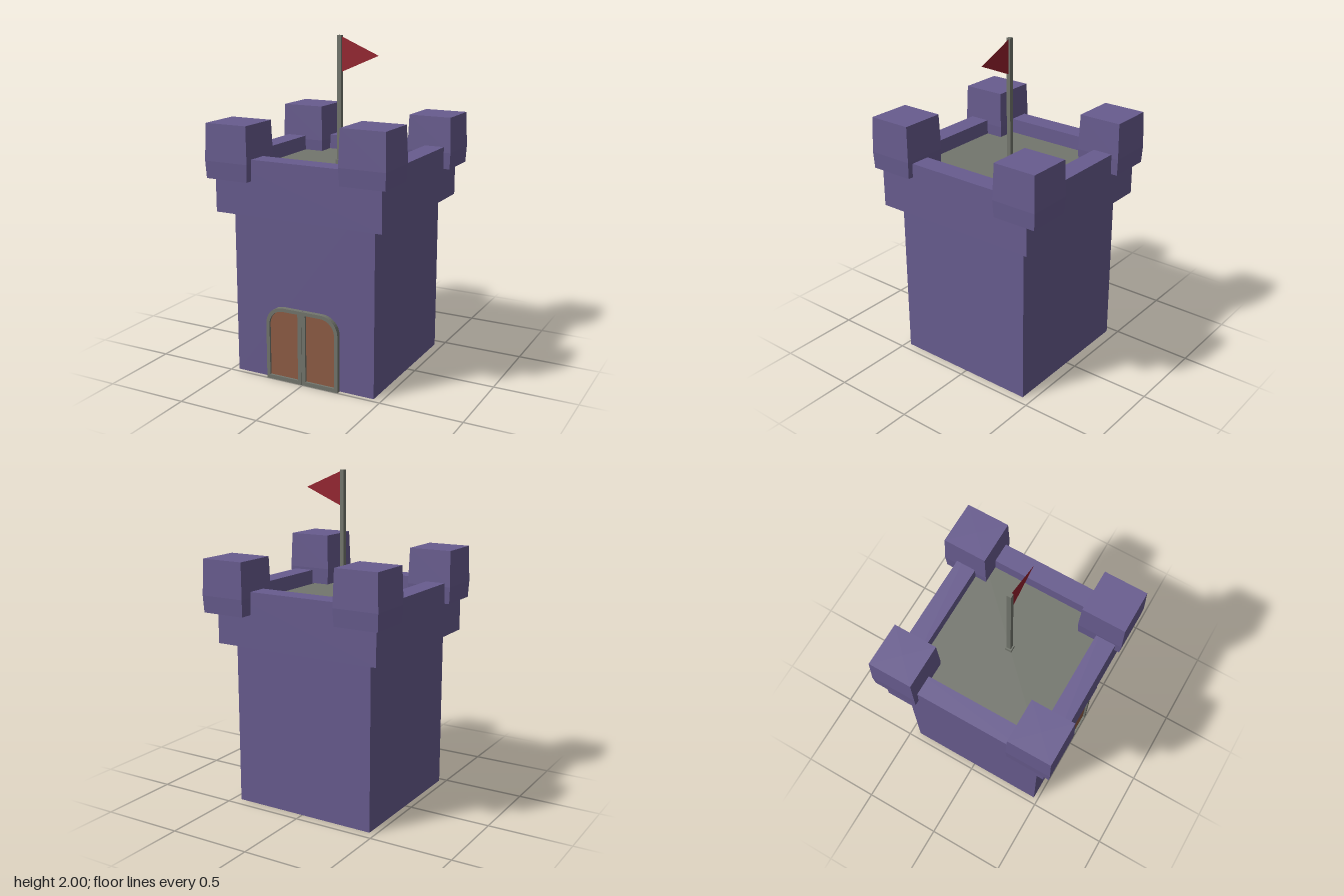
import * as THREE from 'three';

const mat = (name, hex) => {
  const m = new THREE.MeshStandardMaterial({ color: hex });
  m.name = name;
  return m;
};

// Rectangle path with optional rounded top corners (rl on the left, rr on the right)
function archPath(path, x0, x1, y0, y1, rl = 0, rr = 0) {
  path.moveTo(x0, y0);
  path.lineTo(x1, y0);
  path.lineTo(x1, y1 - rr);
  if (rr) path.absarc(x1 - rr, y1 - rr, rr, 0, Math.PI / 2, false);
  path.lineTo(x0 + rl, y1);
  if (rl) path.absarc(x0 + rl, y1 - rl, rl, Math.PI / 2, Math.PI, false);
  path.lineTo(x0, y0);
  return path;
}

const extrude = (shape, depth) =>
  new THREE.ExtrudeGeometry(shape, { depth, bevelEnabled: false, curveSegments: 6 });

// Four-sided block swelling at a third of its height; rows are [half width, y]
function turretGeometry(height) {
  const rows = [[0, 0], [0.136, 0], [0.141, height * 0.32], [0.134, height], [0, height]];
  const profile = rows.map(([w, y]) => new THREE.Vector2(w * Math.SQRT2, y));
  const g = new THREE.LatheGeometry(profile, 4, Math.PI / 4).toNonIndexed();
  g.computeVertexNormals();
  return g;
}

export function createModel() {
  const stone = mat('purple stone', 0x685c8f);
  const grey = mat('grey stone', 0x73766d);
  const wood = mat('brown wood', 0x8f5d45);
  const cloth = mat('red cloth', 0x97202d);

  const model = new THREE.Group();
  model.name = 'castleTower';
  const add = (name, geometry, material, x = 0, y = 0, z = 0) => {
    const mesh = new THREE.Mesh(geometry, material);
    mesh.name = name;
    mesh.position.set(x, y, z);
    model.add(mesh);
    return mesh;
  };
  const cx = -0.005;
  const cz = 0.016;

  // Main keep
  add('keep', new THREE.BoxGeometry(0.91, 1.2, 0.91), stone, cx, 0.6, cz);

  // Overhanging parapet ring and the roof floor inside it
  const ring = archPath(new THREE.Shape(), -0.531, 0.531, -0.531, 0.531);
  ring.holes.push(archPath(new THREE.Path(), -0.407, 0.407, -0.407, 0.407));
  add('parapet', extrude(ring, 0.33), stone, cx, 1, cz).rotation.x = -Math.PI / 2;
  add('roofFloor', new THREE.BoxGeometry(0.82, 0.03, 0.82), grey, cx, 1.225, cz);

  // Corner turrets, each set slightly differently: x, z, bottom, top
  [
    ['turretFrontLeft', 0.423, 0.443, 1.245, 1.56],
    ['turretBackLeft', 0.428, -0.458, 1.195, 1.51],
    ['turretFrontRight', -0.431, 0.454, 1.205, 1.525],
    ['turretBackRight', -0.431, -0.42, 1.205, 1.525],
  ].forEach(([name, x, z, bottom, top]) =>
    add(name, turretGeometry(top - bottom), stone, x, bottom, z));

  // Double door: a raised grey frame per leaf with a recessed wooden panel
  for (const side of [-1, 1]) {
    const rounded = (r) => (side < 0 ? [r, 0] : [0, r]);
    const span = (a, b) => (side < 0 ? [-b, -a] : [a, b]);
    const frame = archPath(new THREE.Shape(), ...span(0.001, 0.237), 0, 0.455, ...rounded(0.11));
    frame.holes.push(archPath(new THREE.Path(), ...span(0.025, 0.215), 0.024, 0.434, ...rounded(0.09)));
    const label = side < 0 ? 'Right' : 'Left';
    add('doorFrame' + label, extrude(frame, 0.035), grey, cx, 0, 0.464);
    const panel = archPath(new THREE.Shape(), ...span(0.022, 0.218), 0.02, 0.437, ...rounded(0.09));
    add('doorPanel' + label, extrude(panel, 0.02), wood, cx, 0, 0.466);
  }

  // Flagpole with its foot, and the pennant
  add('poleFoot', new THREE.BoxGeometry(0.042, 0.03, 0.042), grey, cx, 1.25, 0.015);
  add('flagPole', new THREE.BoxGeometry(0.026, 0.77, 0.026), grey, cx, 1.615, 0.015);
  cloth.side = THREE.DoubleSide;
  const pennant = new THREE.Shape([
    new THREE.Vector2(0, 1.785),
    new THREE.Vector2(0.245, 1.89),
    new THREE.Vector2(0, 1.995),
  ]);
  add('pennant', new THREE.ShapeGeometry(pennant), cloth, 0, 0, 0.015);

  return model;
}
